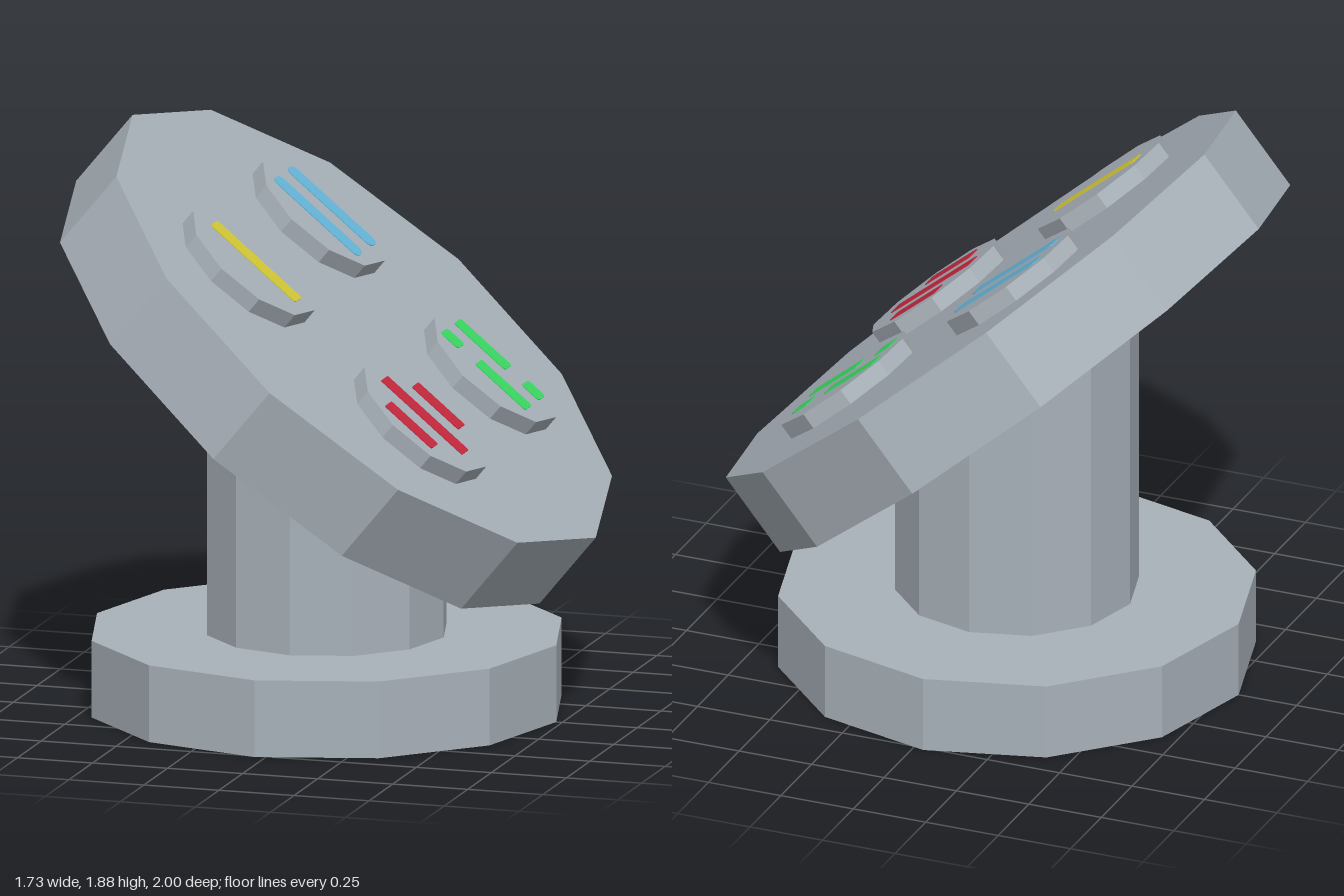
import * as THREE from 'three';

const mat = (name, color) => {
  const m = new THREE.MeshStandardMaterial({ color });
  m.name = name;
  m.flatShading = true;
  return m;
};

const TILT = THREE.MathUtils.degToRad(39.5);
const DISC_THICK = 0.295;
const BUTTON_H = 0.055;

export function createModel() {
  const model = new THREE.Group();
  model.name = 'buttonPedestal';
  const grey = mat('grey metal', 0xa8b1b9);
  const yellow = mat('yellow', 0xd4ca36);
  const blue = mat('blue', 0x66b6da);
  const green = mat('green', 0x3cd964);
  const red = mat('red', 0xc6283e);

  const add = (parent, name, geometry, material, x, y, z) => {
    const mesh = new THREE.Mesh(geometry, material);
    mesh.name = name;
    mesh.position.set(x, y, z);
    parent.add(mesh);
    return mesh;
  };

  // Twelve-sided foot
  add(model, 'base', new THREE.CylinderGeometry(0.765, 0.765, 0.25, 12), grey, -0.035, 0.125, 0);

  // Column whose top is sheared to end inside the tilted disc
  const column = new THREE.CylinderGeometry(0.39, 0.39, 1, 12);
  const pos = column.attributes.position;
  for (let i = 0; i < pos.count; i++) {
    const x = pos.getX(i) - 0.035;
    pos.setXYZ(i, x, pos.getY(i) > 0 ? 1.12 - Math.tan(TILT) * x : 0.24, pos.getZ(i));
  }
  column.computeVertexNormals();
  add(model, 'column', column, grey, 0, 0, 0);

  // Tilted panel: its local origin is the centre of the upper face
  const panel = new THREE.Group();
  panel.name = 'panel';
  panel.position.set(0.09, 1.246, 0);
  panel.rotation.z = -TILT;
  model.add(panel);
  add(panel, 'disc', new THREE.CylinderGeometry(1, 1, DISC_THICK, 12), grey, 0, -DISC_THICK / 2, 0);

  // Four ten-sided buttons
  const buttonGeo = new THREE.CylinderGeometry(0.25, 0.25, BUTTON_H, 10);
  buttonGeo.rotateY(THREE.MathUtils.degToRad(27));
  for (const x of [-0.37, 0.37])
    for (const z of [-0.37, 0.37]) add(panel, 'button', buttonGeo, grey, x, BUTTON_H / 2, z);

  // Thin painted bar running from x0 to x1 at depth z, with corner radius r
  const bar = (name, material, x0, x1, z, r) => {
    const a = (x1 - x0) / 2, b = 0.034;
    const s = new THREE.Shape();
    s.moveTo(-a + r, -b);
    s.lineTo(a - r, -b);
    s.quadraticCurveTo(a, -b, a, -b + r);
    s.lineTo(a, b - r);
    s.quadraticCurveTo(a, b, a - r, b);
    s.lineTo(-a + r, b);
    s.quadraticCurveTo(-a, b, -a, b - r);
    s.lineTo(-a, -b + r);
    s.quadraticCurveTo(-a, -b, -a + r, -b);
    const g = new THREE.ExtrudeGeometry(s, { depth: 0.004, bevelEnabled: false, curveSegments: 3 });
    g.rotateX(-Math.PI / 2);
    add(panel, name, g, material, (x0 + x1) / 2, BUTTON_H - 0.001, z);
  };

  bar('yellowBar', yellow, -0.545, -0.18, 0.367, 0.012);
  for (const z of [-0.445, -0.3]) bar('blueBar', blue, -0.55, -0.185, z, 0.025);

  bar('redBar', red, 0.19, 0.54, 0.367, 0.005);
  for (const z of [0.225, 0.51]) bar('redBar', red, 0.265, 0.466, z, 0.008);

  bar('greenBar', green, 0.175, 0.395, -0.442, 0.01);
  bar('greenDash', green, 0.466, 0.54, -0.442, 0.015);
  bar('greenDash', green, 0.175, 0.25, -0.3, 0.015);
  bar('greenBar', green, 0.324, 0.54, -0.3, 0.01);

  return model;
}
